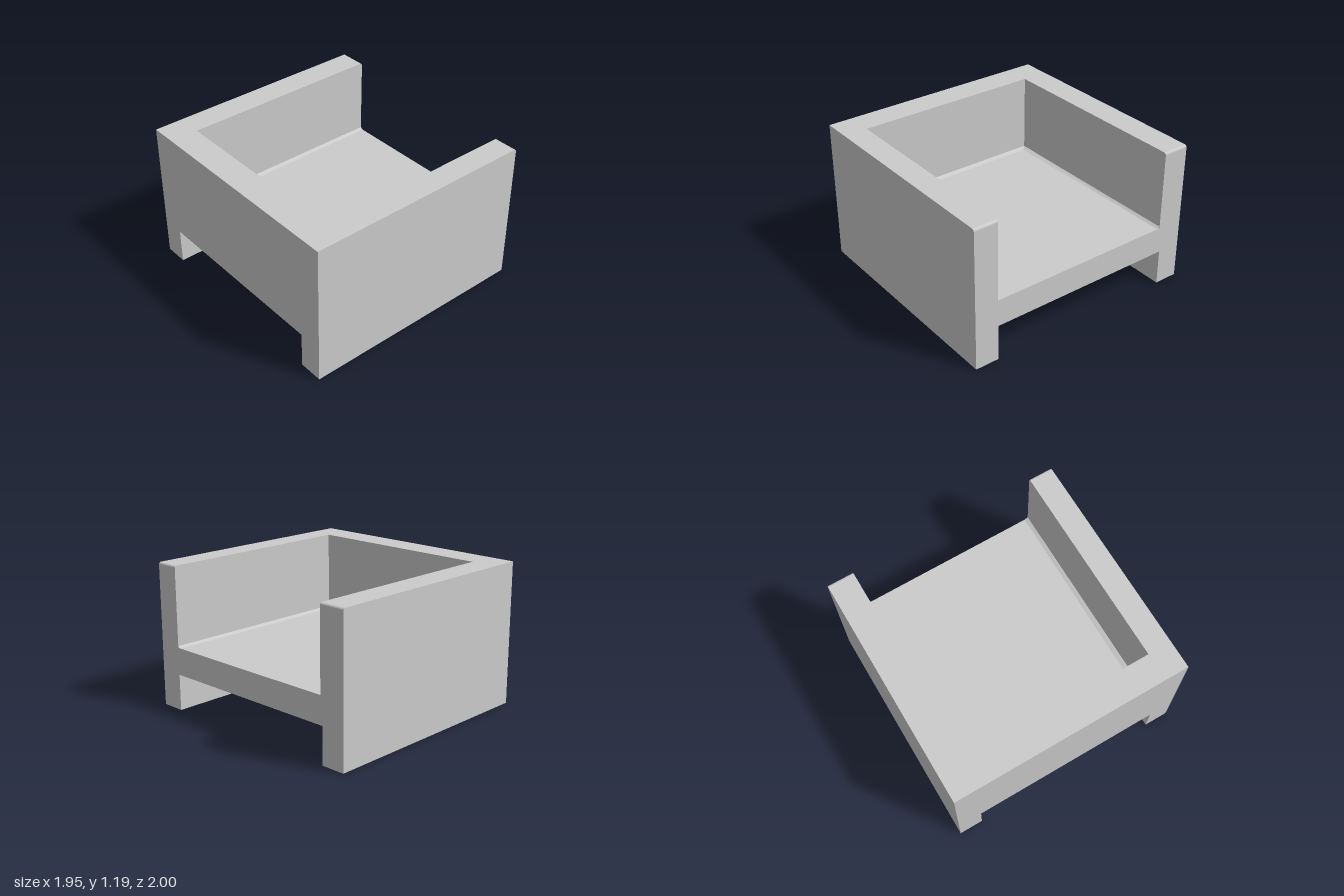
import * as THREE from 'three';

const X = 0.975;        // half length, the open side faces +x
const TOP = 1.19;       // height of the arms and back
const UNDER = 0.3;      // underside of the seat
const SEAT = 0.525;     // top of the seat
const BACK = -0.74;     // inner face of the back
const ARM_L = 0.8, ARM_R = -0.78; // inner faces of the two arms

export function createModel() {
  const group = new THREE.Group();
  group.name = 'armchair';
  const material = new THREE.MeshStandardMaterial({ color: 0xcccccc, side: THREE.DoubleSide });

  const add = (name, geometry) => {
    const mesh = new THREE.Mesh(geometry, material);
    mesh.name = name;
    group.add(mesh);
    return mesh;
  };
  // Box given by its minimum and maximum corners
  const box = (name, [x0, y0, z0], [x1, y1, z1]) => {
    const mesh = add(name, new THREE.BoxGeometry(x1 - x0, y1 - y0, z1 - z0));
    mesh.position.set((x0 + x1) / 2, (y0 + y1) / 2, (z0 + z1) / 2);
  };

  // Arms: side panels with a small rounded corner at the open end
  const r = 0.02;
  const profile = new THREE.Shape();
  profile.moveTo(-X, UNDER);
  profile.lineTo(X, UNDER);
  profile.lineTo(X, TOP - r);
  profile.absarc(X - r, TOP - r, r, 0, Math.PI / 2, false);
  profile.lineTo(-X, TOP);
  profile.closePath();
  for (const [name, z0, z1] of [['armFront', ARM_L, 1], ['armRear', -1, ARM_R]]) {
    const arm = new THREE.ExtrudeGeometry(profile, { depth: z1 - z0, bevelEnabled: false, curveSegments: 4 });
    add(name, arm.translate(0, 0, z0));
  }

  // Runner legs under each arm
  box('legFront', [-X, 0, 0.8], [X, UNDER, 1]);
  box('legRear', [-X, 0, -1], [X, UNDER, -0.8]);

  // Back and seat
  box('back', [-X, UNDER, ARM_R], [BACK, TOP, ARM_L]);
  box('seat', [BACK, UNDER, ARM_R], [X, SEAT, ARM_L]);

  // Sloping strip where the seat meets the back and arms
  const edge = 0.54;
  const outer = [[X, edge, ARM_L], [BACK, edge, ARM_L], [BACK, edge, ARM_R], [X, edge, ARM_R]];
  const lift = SEAT + 0.001;
  const inner = [[X, lift, 0.77], [-0.705, lift, 0.76], [-0.705, lift, -0.742], [X, lift, -0.755]];
  const points = [];
  for (let i = 0; i < 3; i++) {
    const [a, b, c, d] = [outer[i], inner[i], inner[i + 1], outer[i + 1]];
    points.push(...a, ...b, ...c, ...a, ...c, ...d);
  }
  const strip = new THREE.BufferGeometry();
  strip.setAttribute('position', new THREE.Float32BufferAttribute(points, 3));
  strip.computeVertexNormals();
  add('seatEdge', strip);

  // Cross rail below the seat, its rear end slanting slightly
  const railShape = new THREE.Shape([
    [0.8, UNDER], [0.8, 0.12], [0.79, 0.05], [-0.79, 0.05], [-0.76, UNDER],
  ].map(([z, y]) => new THREE.Vector2(-z, y)));
  const rail = new THREE.ExtrudeGeometry(railShape, { depth: 0.21, bevelEnabled: false });
  add('rail', rail.rotateY(Math.PI / 2).translate(-0.77, 0, 0));

  return group;
}
